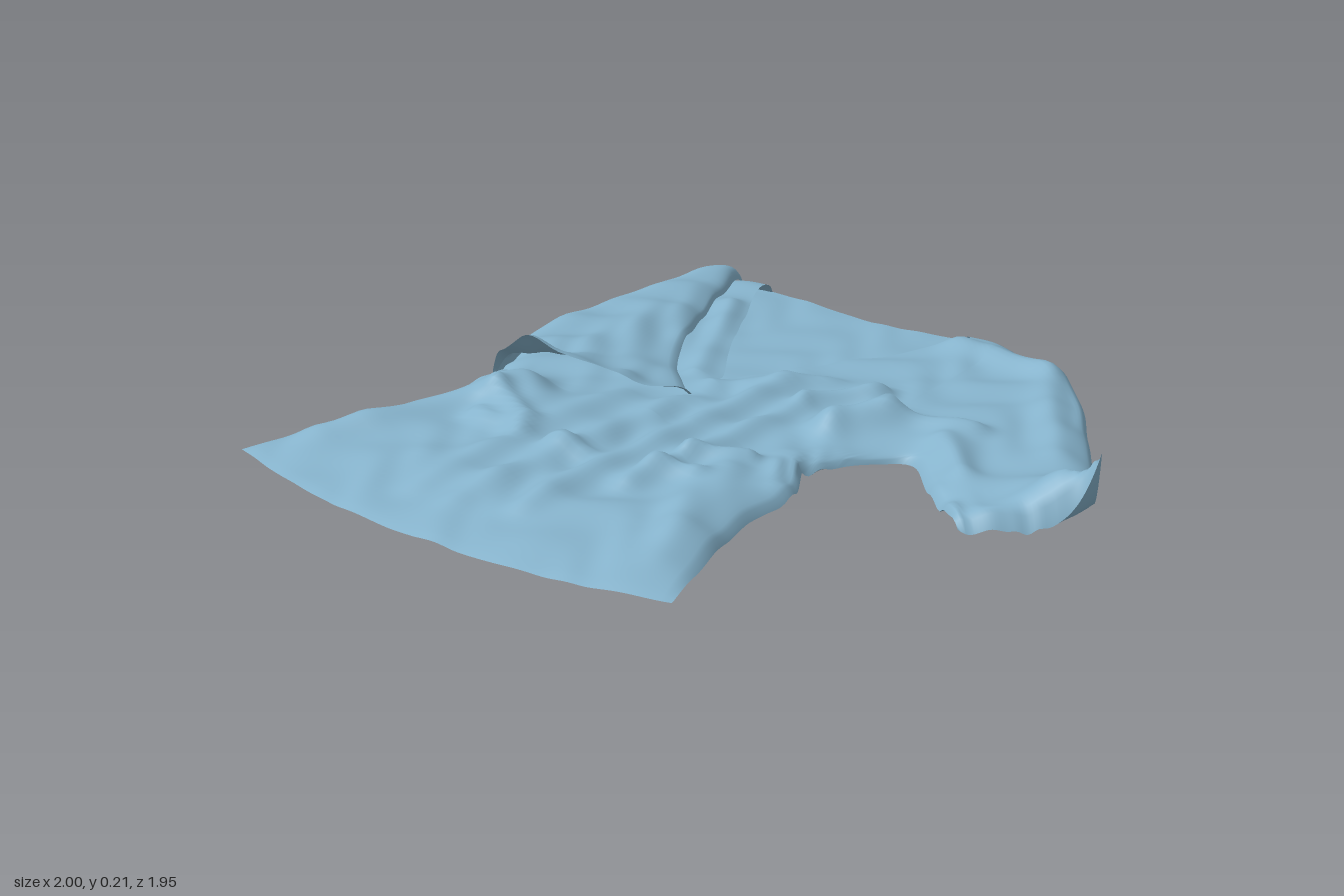
import * as THREE from 'three';
import { mergeGeometries, mergeVertices } from 'three/addons/utils/BufferGeometryUtils.js';

const N = 48; // samples per patch side

// Smooth plan curve through [x, z] points, sampled N + 1 times
const curve = (...pts) =>
  new THREE.CatmullRomCurve3(pts.map(([x, z]) => new THREE.Vector3(x, 0, z))).getPoints(N);

// ---- pattern lines, shared between neighbouring panels ----
const leftSide = curve([-0.84, -0.92], [-0.88, -0.72], [-0.9, -0.5], [-0.92, -0.2], [-0.87, -0.02], [-0.8, 0.13]);
const leftSkirt = curve([-0.8, 0.13], [-0.8, 0.25], [-0.86, 0.43], [-0.95, 0.66], [-1, 0.85]);
const rightSkirt = curve([0.25, 0.13], [0.31, 0.24], [0.32, 0.45], [0.37, 0.65], [0.44, 0.87]);
const armSeam = curve([0.2, -0.94], [0.22, -0.6], [0.24, -0.2], [0.25, 0.13]);
const armOuter = curve([0.2, -0.94], [0.4, -0.86], [0.55, -0.72], [0.68, -0.53], [0.82, -0.32], [0.92, -0.15], [1, -0.03]);
const armInner = curve([0.25, 0.13], [0.3, 0.02], [0.41, -0.1], [0.56, 0.03], [0.75, 0.19]);
const cuff = curve([1, -0.03], [0.93, 0.04], [0.75, 0.19]);
const waistA = curve([-0.8, 0.13], [-0.54, 0.13], [-0.27, 0.13]);
const waistB = curve([-0.27, 0.13], [0, 0.13], [0.25, 0.13]);
const hemA = curve([-1, 0.85], [-0.75, 0.92], [-0.5, 0.96], [-0.27, 0.97]);
const hemB = curve([-0.27, 0.97], [0, 0.96], [0.22, 0.93], [0.44, 0.87]);
const skirtMid = curve([-0.27, 0.13], [-0.27, 0.97]);
const shoulderA = curve([-0.84, -0.92], [-0.77, -0.96], [-0.68, -0.975]);
const shoulderB = curve([0.03, -0.957], [0.12, -0.955], [0.2, -0.94]);
const neckA = curve([-0.68, -0.975], [-0.64, -0.84], [-0.55, -0.68], [-0.4, -0.41], [-0.27, -0.2], [-0.27, -0.15], [-0.27, 0.13]);
const neckB = curve([0.03, -0.957], [0.085, -0.88], [0.02, -0.74], [-0.13, -0.43], [-0.27, -0.2], [-0.27, -0.15], [-0.27, 0.13]);
const backTopA = curve([-0.84, -0.92], [-0.77, -0.96], [-0.62, -0.98], [-0.45, -0.95], [-0.28, -0.93]);
const backTopB = curve([-0.28, -0.93], [-0.15, -0.94], [-0.02, -0.96], [0.1, -0.955], [0.2, -0.94]);
const backMid = curve([-0.28, -0.93], [-0.27, 0.13]);

// Edges where front and back meet: rounded sides, and the gently tapering hem
const sides = [leftSide, leftSkirt, rightSkirt, armOuter, armInner, cuff, shoulderA, shoulderB].flat();
const hem = [hemA, hemB].flat();

// ---- cloth relief ----
const clamp01 = t => Math.min(1, Math.max(0, t));
const bump = (x, z, cx, cz, r) => Math.exp(-((x - cx) ** 2 + (z - cz) ** 2) / (r * r));
const crumple = (x, z) =>
  (Math.sin(23 * x + 9 * z + 2 * Math.sin(11 * z)) + Math.sin(31 * z - 13 * x + 2 * Math.sin(17 * x))) / 2;

// Folds: start x, z, end x, z, width, height
const folds = [
  [-0.4, 0.05, -0.42, 0.8, 0.05, 0.022], [-0.24, 0, -0.28, 0.8, 0.05, 0.025],
  [-0.1, -0.25, -0.12, 0.75, 0.045, 0.03], [0.03, -0.15, 0, 0.5, 0.04, 0.025],
  [0.13, 0.3, 0.3, 0.75, 0.06, 0.025], [-0.62, 0.2, -0.85, 0.7, 0.06, 0.03],
  [0.02, -0.2, 0.14, -0.36, 0.035, 0.035], [-0.02, -0.35, -0.25, -0.15, 0.04, 0.02],
  [0.18, -0.1, 0.25, -0.22, 0.06, 0.055], [0.28, -0.24, 0.48, -0.3, 0.04, 0.03],
  [0.45, -0.2, 0.6, -0.05, 0.04, 0.02], [0.1, -0.82, 0.42, -0.78, 0.05, 0.025],
  [0.42, -0.78, 0.72, -0.3, 0.05, 0.015], [-0.62, 0.3, -0.45, 0.38, 0.035, 0.04],
  [-0.6, 0.4, -0.42, 0.43, 0.03, 0.025], [-0.3, 0.43, -0.2, 0.44, 0.035, 0.03],
  [0.0, 0.4, 0.1, 0.37, 0.035, 0.03], [0.02, 0.28, 0.14, 0.2, 0.03, 0.03],
  [-0.7, 0.22, -0.52, 0.24, 0.1, 0.04], [-0.62, -0.7, -0.35, -0.2, 0.04, 0.02]
];
function foldHeight(x, z) {
  let h = 0;
  for (const [ax, az, bx, bz, w, a] of folds) {
    const dx = bx - ax, dz = bz - az;
    const t = clamp01(((x - ax) * dx + (z - az) * dz) / (dx * dx + dz * dz));
    h += a * bump(x, z, ax + t * dx, az + t * dz, w);
  }
  return h;
}
function distance(x, z, points) {
  let d2 = 4;
  for (const p of points) d2 = Math.min(d2, (p.x - x) ** 2 + (p.z - z) ** 2);
  return Math.sqrt(d2);
}

// Back cloth lies on the ground, gathered at the waist, cuff corner curling up
const waistGather = (x, z) =>
  0.014 * Math.exp(-(((z - 0.16) / 0.13) ** 2)) * (1 + crumple(2.3 * x, 2.1 * z));
const backY = (x, z) =>
  0.008 + 0.004 * crumple(x, z) + waistGather(x, z) + 0.2 * clamp01((x - 0.84) / 0.16) ** 4;

// Front cloth puffs up away from its edges
function frontY(x, z) {
  const s = clamp01(distance(x, z, sides) / 0.1);
  const t = clamp01(distance(x, z, hem) / 0.3);
  const h = 0.042 + foldHeight(x, z) + 0.003 * crumple(x, z) + 0.09 * bump(x, z, 0.92, -0.04, 0.12);
  return backY(x, z) - s * waistGather(x, z) + h * Math.sqrt(s * (2 - s)) * Math.pow(t, 0.7);
}

// Panel filled between four border curves; height(x, z, u, v) gives y
function panel([L, R, T, B], height, flip = false) {
  const pos = [], idx = [], W = N + 1;
  const mix = (k, u, v) => (1 - v) * ((1 - u) * T[0][k] + u * T[N][k]) + v * ((1 - u) * B[0][k] + u * B[N][k]);
  for (let j = 0; j <= N; j++) for (let i = 0; i <= N; i++) {
    const u = i / N, v = j / N;
    const at = k => (1 - u) * L[j][k] + u * R[j][k] + (1 - v) * T[i][k] + v * B[i][k] - mix(k, u, v);
    const x = at('x'), z = at('z');
    pos.push(x, Math.max(0, height(x, z, u, v)), z);
    if (i < N && j < N) {
      const a = j * W + i, b = a + 1, c = a + W, d = c + 1;
      idx.push(...(flip ? [a, b, c, b, d, c] : [a, c, b, b, c, d]));
    }
  }
  const g = new THREE.BufferGeometry();
  g.setAttribute('position', new THREE.Float32BufferAttribute(pos, 3));
  g.setIndex(idx);
  return g;
}

export function createModel() {
  const group = new THREE.Group();
  group.name = 'blouse';
  const cloth = new THREE.MeshStandardMaterial({ color: 0x86b3cc, side: THREE.DoubleSide });
  const add = (name, panels) => {
    const g = mergeVertices(mergeGeometries(panels), 1e-4);
    g.computeVertexNormals();
    const mesh = new THREE.Mesh(g, cloth);
    mesh.name = name;
    group.add(mesh);
  };

  // Panels common to front and back: both skirt halves and the spread sleeve
  const common = [
    [leftSkirt, skirtMid, waistA, hemA],
    [skirtMid, rightSkirt, waistB, hemB],
    [armSeam, cuff, armOuter, armInner]
  ];
  const front = [[leftSide, neckA, shoulderA, waistA], [neckB, armSeam, shoulderB, waistB], ...common];
  const back = [[leftSide, backMid, backTopA, waistA], [backMid, armSeam, backTopB, waistB], ...common];
  add('frontCloth', front.map(p => panel(p, frontY)));
  add('backCloth', back.map(p => panel(p, backY, true)));

  // Other sleeve, folded across the chest with its cuff standing open
  const foldedEdge = curve([-0.78, -0.955], [-0.6, -0.52], [-0.42, -0.2], [-0.22, -0.02]);
  const foldedTop = curve([-0.84, -0.92], [-0.78, -0.955]);
  const foldedCuff = curve([-0.8, 0.13], [-0.72, 0.18], [-0.59, 0.19], [-0.38, 0.09], [-0.22, -0.02]);
  add('foldedSleeve', [panel([leftSide, foldedEdge, foldedTop, foldedCuff], (x, z, u, v) =>
    frontY(x, z) + 0.004 + (0.055 + 0.006 * crumple(1.4 * x, z)) * Math.sin(Math.PI * u) ** 0.5 +
    0.055 * bump(x, z, -0.54, 0.16, 0.12) + 0.02 * bump(x, z, -0.5, -0.38, 0.07))]);

  return group;
}
